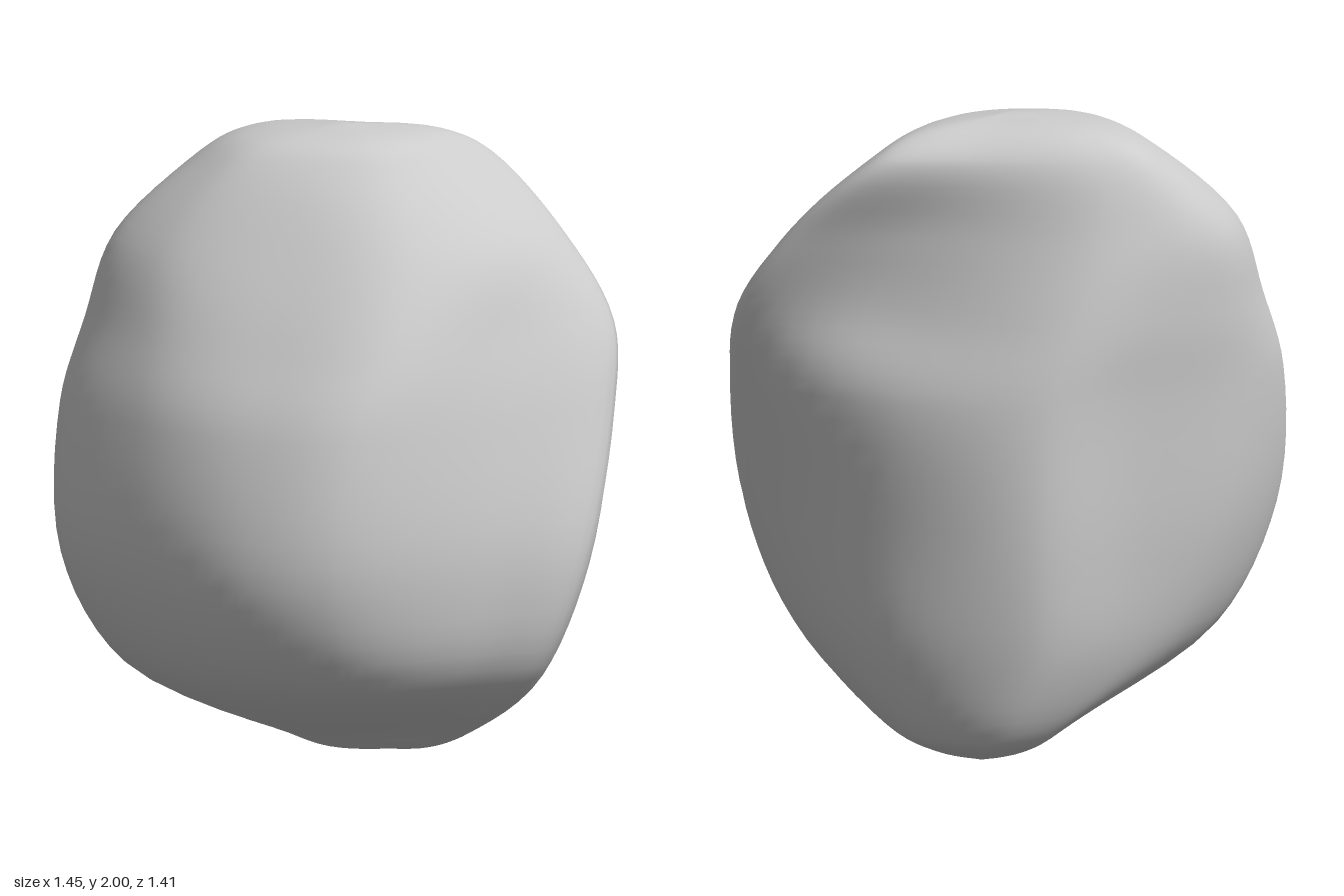
import * as THREE from 'three';

// Horizontal outlines of the boulder: height, then ten x,z corners running
// crest, front, front left, left, ... round the back to the right face.
const LEVELS = [
  [0.10, [.34, .2, .17, .08, .06, 0, -.02, -.08, -.05, -.16, .02, -.27, .15, -.36, .28, -.41, .46, -.35, .55, -.08]],
  [0.35, [.31, .6, .1, .55, -.27, .41, -.48, .19, -.55, -.15, -.49, -.43, -.2, -.55, .1, -.55, .45, -.46, .64, -.03]],
  [0.70, [.43, .69, .12, .63, -.4, .5, -.62, .27, -.71, -.15, -.68, -.5, -.3, -.65, .1, -.6, .46, -.49, .65, .02]],
  [1.15, [.63, .58, .23, .57, -.33, .48, -.54, .23, -.66, -.15, -.61, -.59, -.3, -.69, .1, -.62, .42, -.49, .63, -.04]],
  [1.40, [.71, .48, .3, .5, -.18, .44, -.42, .15, -.57, -.2, -.52, -.58, -.28, -.7, .05, -.65, .33, -.51, .55, .02]],
  [1.65, [.67, .29, .36, .4, -.03, .33, -.27, .08, -.46, -.25, -.42, -.56, -.22, -.68, .02, -.64, .22, -.52, .47, -.07]],
  [1.88, [.57, .06, .37, .16, .08, .15, -.13, .0, -.26, -.22, -.22, -.4, -.11, -.52, .01, -.56, .15, -.48, .38, -.2]],
];
const BOTTOM = new THREE.Vector3(0.32, 0, -0.17);
const TOP = new THREE.Vector3(0.13, 2, -0.13);
const AROUND = 80;
const UP = 60;

// Smooth closed outline through the corners of one level
function outline([y, c]) {
  const corners = [];
  for (let i = 0; i < c.length; i += 2) corners.push(new THREE.Vector3(c[i], y, c[i + 1]));
  const curve = new THREE.CatmullRomCurve3(corners, true);
  return Array.from({ length: AROUND }, (_, j) => curve.getPoint(j / AROUND));
}

// Shrunken copy of an outline that rounds off an end
function shrink(ring, pole, scale, y) {
  return ring.map((p) => pole.clone().lerp(p, scale).setY(y));
}

function boulderGeometry() {
  const rings = LEVELS.map(outline);
  rings.unshift(shrink(rings[0], BOTTOM, 0.6, 0.04));
  rings.push(shrink(rings[rings.length - 1], TOP, 0.68, 1.96));

  // Vertical splines from pole to pole, stored column by column
  const positions = [];
  const row = UP - 1;
  for (let j = 0; j < AROUND; j++) {
    const rib = new THREE.CatmullRomCurve3([BOTTOM, ...rings.map((r) => r[j]), TOP]);
    for (let i = 1; i < UP; i++) positions.push(...rib.getPoint(i / UP).toArray());
  }
  const bottom = AROUND * row;
  const top = bottom + 1;
  positions.push(...BOTTOM.toArray(), ...TOP.toArray());

  const index = [];
  for (let j = 0; j < AROUND; j++) {
    const a = j * row;
    const b = ((j + 1) % AROUND) * row;
    for (let i = 0; i < row - 1; i++) {
      index.push(a + i, a + i + 1, b + i, b + i, a + i + 1, b + i + 1);
    }
    index.push(bottom, a, b, top, b + row - 1, a + row - 1);
  }

  const geometry = new THREE.BufferGeometry();
  geometry.setAttribute('position', new THREE.Float32BufferAttribute(positions, 3));
  geometry.setIndex(index);
  geometry.computeVertexNormals();
  return geometry;
}

export function createModel() {
  const group = new THREE.Group();
  group.name = 'rock';
  const boulder = new THREE.Mesh(
    boulderGeometry(),
    new THREE.MeshStandardMaterial({ color: 0xcccccc }),
  );
  boulder.name = 'boulder';
  group.add(boulder);
  return group;
}
